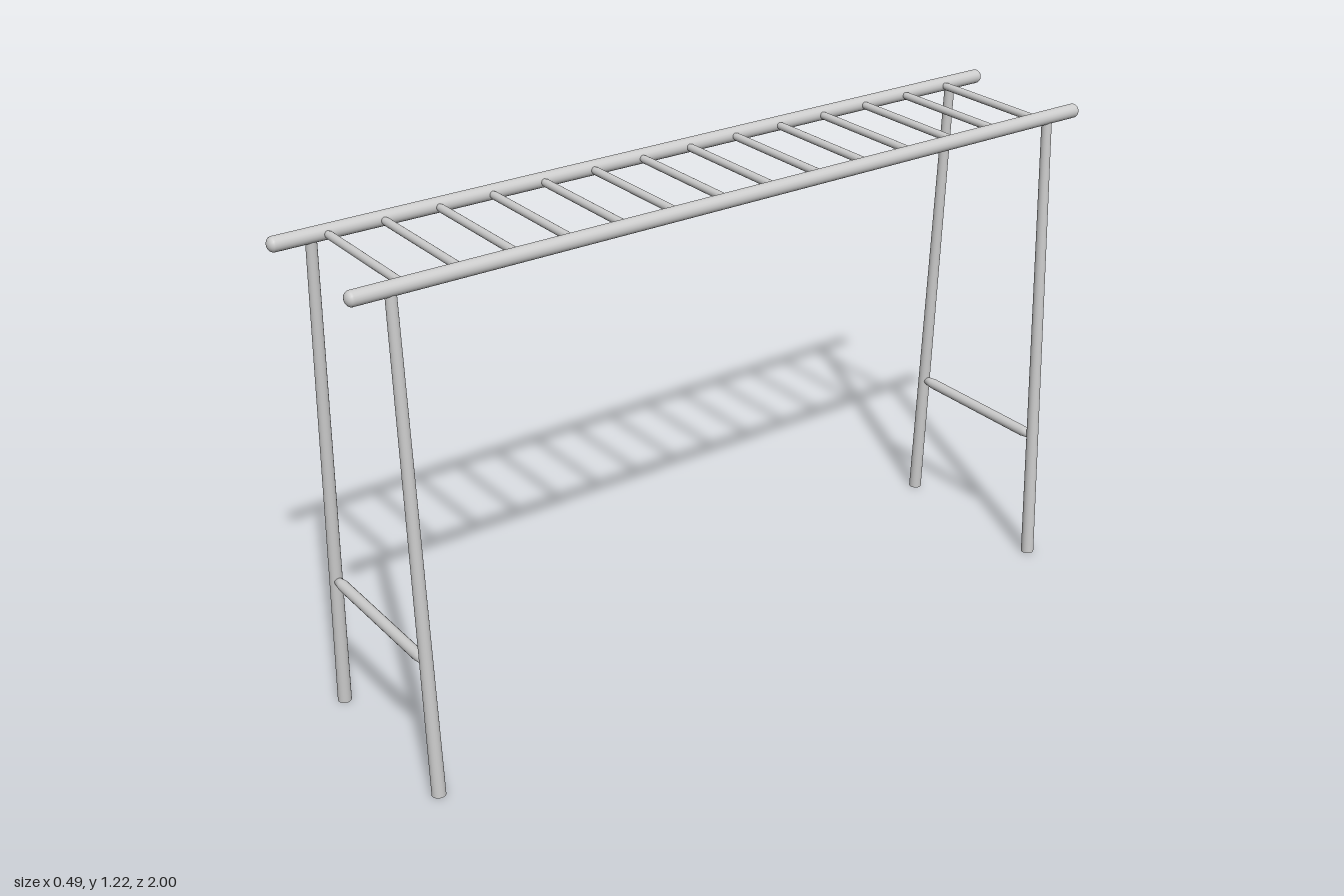
import * as THREE from 'three';

const material = new THREE.MeshStandardMaterial({ color: 0xcccccc });

// Solid of revolution from [radius, position] points, spanning from a to b (positions run 0..length)
function bar(name, profile, a, b, sides = 20) {
  const points = profile.map(([r, t]) => new THREE.Vector2(r, t));
  const mesh = new THREE.Mesh(new THREE.LatheGeometry(points, sides), material);
  const dir = b.clone().sub(a).normalize();
  mesh.quaternion.setFromUnitVectors(new THREE.Vector3(0, 1, 0), dir);
  mesh.position.copy(a);
  mesh.name = name;
  return mesh;
}

// Bar along x, stepped down to a thinner tip at each end
function crossPiece(name, half, radius, tip, taper, y, z) {
  const L = half * 2;
  const profile = [[0, 0], [tip, 0], [radius * 0.9, taper], [radius, taper * 1.4],
    [radius, L - taper * 1.4], [radius * 0.9, L - taper], [tip, L], [0, L]];
  return bar(name, profile, new THREE.Vector3(-half, y, z), new THREE.Vector3(half, y, z));
}

// Tapered leg, leaning outwards towards the foot
function leg(name, side, z) {
  const foot = new THREE.Vector3(side * 0.227, 0, z);
  const top = new THREE.Vector3(side * 0.175, 1.2, z);
  const mesh = new THREE.Mesh(
    new THREE.CylinderGeometry(0.0125, 0.0165, foot.distanceTo(top), 20), material);
  mesh.position.copy(foot).lerp(top, 0.5);
  mesh.quaternion.setFromUnitVectors(new THREE.Vector3(0, 1, 0), top.clone().sub(foot).normalize());
  mesh.name = name;
  return mesh;
}

export function createModel() {
  const model = new THREE.Group();
  model.name = 'overheadLadder';
  const railY = 1.2, railR = 0.0175, cap = 0.014;

  // Long side rails with rounded ends
  const railProfile = [];
  for (let i = 0; i <= 6; i++) {
    const a = (i / 6) * Math.PI / 2;
    railProfile.push([railR * Math.sin(a), cap * (1 - Math.cos(a))]);
  }
  for (let i = 6; i >= 0; i--) railProfile.push([railProfile[i][0], 2 - railProfile[i][1]]);
  for (const side of [1, -1]) {
    model.add(bar(side > 0 ? 'leftRail' : 'rightRail', railProfile,
      new THREE.Vector3(side * 0.175, railY, -1), new THREE.Vector3(side * 0.175, railY, 1)));
  }

  // Evenly spaced rungs
  const rungs = new THREE.Group();
  rungs.name = 'rungs';
  for (let i = 0; i < 14; i++) {
    const z = -0.868 + i * (1.736 / 13);
    rungs.add(crossPiece('rung', 0.17, 0.0095, 0.006, 0.014, railY, z));
  }
  model.add(rungs);

  // End frames: two legs joined by a low brace
  for (const end of [1, -1]) {
    const frame = new THREE.Group();
    frame.name = end > 0 ? 'frontFrame' : 'backFrame';
    const z = end * 0.9;
    frame.add(leg('leftLeg', 1, z), leg('rightLeg', -1, z));
    frame.add(crossPiece('brace', 0.207, 0.0135, 0.009, 0.022, 0.34, z));
    model.add(frame);
  }
  return model;
}
